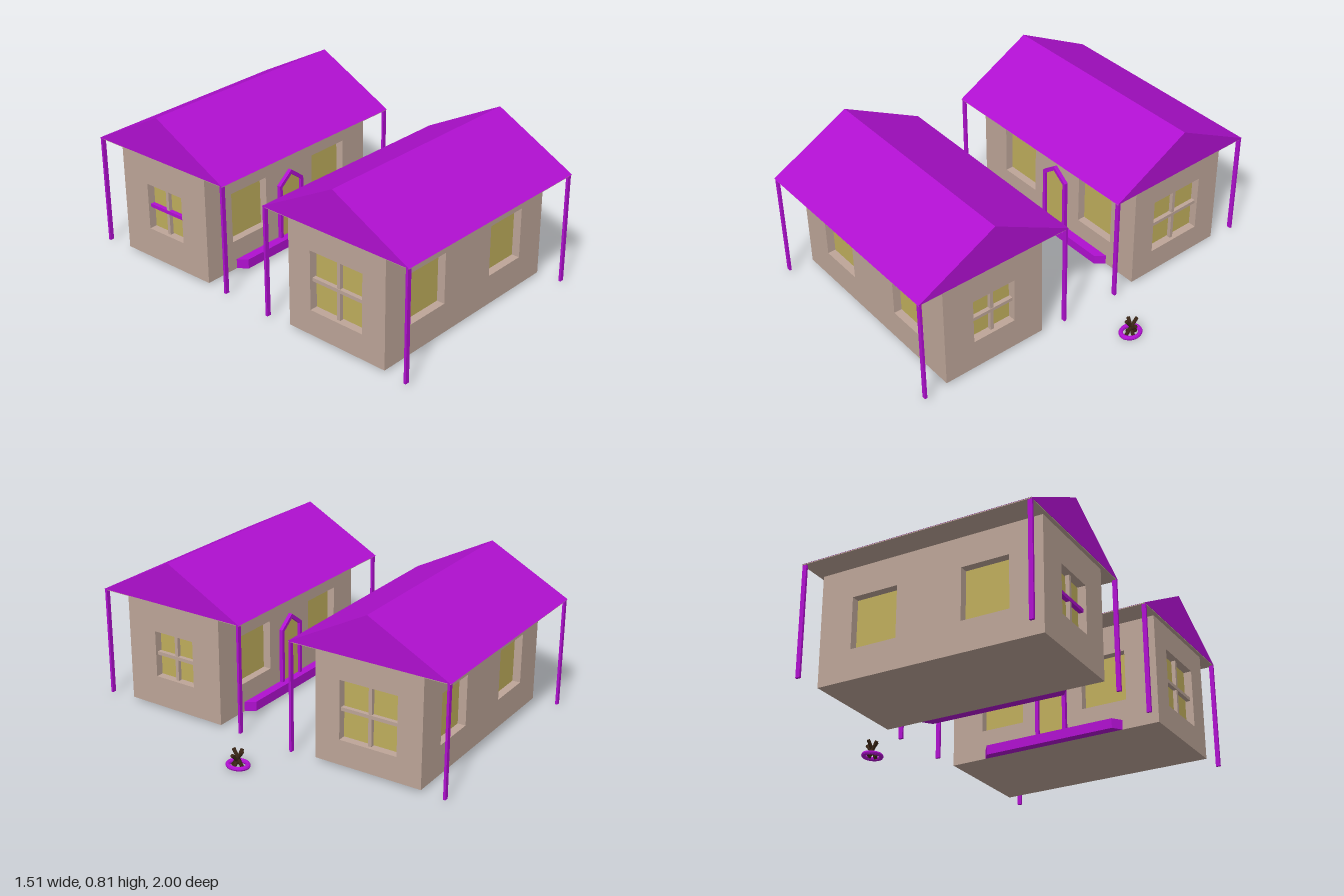
import * as THREE from 'three';

const mat = (color, side = THREE.FrontSide) =>
  new THREE.MeshStandardMaterial({ color, side, flatShading: true });
const beige = mat(0xbda598), purple = mat(0xb010d0), glass = mat(0xbfae5c), wood = mat(0x3a2616);

const HL = 0.577, HD = 0.285, BASE = 0.02, TOP = 0.59, THICK = 0.05;
const ROOF_L = 0.598, ROOF_D = 0.427, RIDGE = 0.815;

function add(parent, name, geometry, material, x = 0, y = 0, z = 0) {
  const m = new THREE.Mesh(geometry, material);
  m.name = name;
  m.position.set(x, y, z);
  parent.add(m);
  return m;
}
const box = (w, h, d) => new THREE.BoxGeometry(w, h, d);
const poly = (pts) => new THREE.Shape(pts.map(([x, y]) => new THREE.Vector2(x, y)));
const rect = (x0, y0, x1, y1) => poly([[x0, y0], [x1, y0], [x1, y1], [x0, y1]]);
const extrude = (shape, depth) => new THREE.ExtrudeGeometry(shape, { depth, bevelEnabled: false });

// A wall facing local +z with its outer face at z = 0; windows are [centre x, bottom, top, width]
function makeWall(name, half, windows, bars, barMaterial = beige) {
  const g = new THREE.Group();
  g.name = name;
  const shape = rect(-half, BASE, half, TOP);
  for (const [cx, y0, y1, w] of windows) {
    shape.holes.push(rect(cx - w / 2, y0, cx + w / 2, y1));
    const cy = (y0 + y1) / 2;
    add(g, 'windowPane', box(w, y1 - y0, 0.006), glass, cx, cy, -THICK + 0.005);
    if (bars) {
      add(g, 'uprightBar', box(0.018, y1 - y0, 0.02), beige, cx, cy, -0.028);
      add(g, 'crossBar', box(w, 0.018, 0.022), barMaterial, cx, cy, -0.026);
    }
  }
  add(g, 'wallPanel', extrude(shape, THICK), beige, 0, 0, -THICK);
  return g;
}

function makeHouse(name, smallWindowBar) {
  const house = new THREE.Group();
  house.name = name;

  // Walls and floor
  const longWindows = [[-0.285, 0.173, 0.435, 0.24], [0.29, 0.173, 0.435, 0.24]];
  const rear = makeWall('plainWall', HL, longWindows, false);
  rear.position.z = HD;
  const entry = makeWall('entryWall', HL, longWindows, false);
  entry.position.z = -HD;
  entry.rotation.y = Math.PI;
  const small = makeWall('smallWindowGable', HD, [[0, 0.18, 0.425, 0.238]], true, smallWindowBar);
  small.position.x = HL;
  small.rotation.y = Math.PI / 2;
  const large = makeWall('largeWindowGable', HD, [[0, 0.15, 0.455, 0.308]], true);
  large.position.x = -HL;
  large.rotation.y = -Math.PI / 2;
  house.add(rear, entry, small, large);
  add(house, 'floor', box(2 * (HL - THICK), 0.02, 2 * (HD - THICK)), beige, 0, BASE + 0.01, 0);

  // Door with a peaked frame, and the step below it
  const frame = poly([[-0.085, BASE], [0.085, BASE], [0.085, 0.36], [0, 0.425], [-0.085, 0.36]]);
  const opening = [[-0.067, BASE + 0.01], [0.067, BASE + 0.01], [0.067, 0.35], [0, 0.402], [-0.067, 0.35]];
  frame.holes.push(poly(opening));
  add(entry, 'doorFrame', extrude(frame, 0.02), purple);
  add(entry, 'door', extrude(poly(opening), 0.006), glass);
  const step = extrude(poly([[-0.385, 0], [0.385, 0], [0.35, -0.047], [-0.35, -0.047]]), 0.05);
  step.rotateX(-Math.PI / 2);
  add(entry, 'doorStep', step, purple, 0, BASE, 0);

  // Gabled roof and its underside
  const roof = extrude(poly([[-ROOF_D, TOP], [ROOF_D, TOP], [0, RIDGE]]), 2 * ROOF_L);
  roof.translate(0, 0, -ROOF_L);
  roof.rotateY(Math.PI / 2);
  add(house, 'roof', roof, purple);
  add(house, 'soffit', box(2 * ROOF_L - 0.004, 0.004, 2 * ROOF_D - 0.004), beige, 0, TOP - 0.002, 0);

  // Corner posts
  for (const sx of [-1, 1]) for (const sz of [-1, 1]) {
    add(house, 'cornerPost', box(0.022, TOP - BASE, 0.012), purple,
      sx * 0.587, (TOP + BASE) / 2, sz * 0.416);
  }
  return house;
}

function makeFirePit() {
  const pit = new THREE.Group();
  pit.name = 'firePit';

  // Oval ring
  const ring = new THREE.TorusGeometry(0.045, 0.011, 8, 24);
  ring.rotateX(Math.PI / 2);
  ring.scale(0.95, 1, 1.12);
  add(pit, 'ring', ring, purple, 0, 0.022, 0);

  // Leaning logs crossing in the middle: [foot, tip]
  const logs = [
    [[0.024, 0.018, 0.004], [-0.028, 0.095, -0.006]],
    [[-0.024, 0.012, 0], [0.038, 0.085, 0.004]],
    [[0, 0.015, 0.03], [0.006, 0.1, -0.032]],
    [[0.004, 0.015, -0.03], [-0.004, 0.1, 0.028]],
  ];
  for (const [a, b] of logs) {
    const foot = new THREE.Vector3(...a), dir = new THREE.Vector3(...b).sub(foot);
    const log = add(pit, 'log', new THREE.CylinderGeometry(0.009, 0.009, dir.length(), 8), wood);
    log.position.copy(foot).addScaledVector(dir, 0.5);
    log.quaternion.setFromUnitVectors(new THREE.Vector3(0, 1, 0), dir.normalize());
  }
  return pit;
}

export function createModel() {
  const model = new THREE.Group();
  model.name = 'twoCabins';

  // Two cabins with their doors facing each other, the second slightly askew
  const front = makeHouse('frontCabin', beige);
  front.position.set(-0.157, 0, 0.573);
  const back = makeHouse('backCabin', purple);
  back.position.set(-0.152, 0, -0.562);
  back.rotation.y = Math.PI + 0.02;

  const pit = makeFirePit();
  pit.position.set(0.7, 0, -0.035);
  model.add(front, back, pit);
  return model;
}
